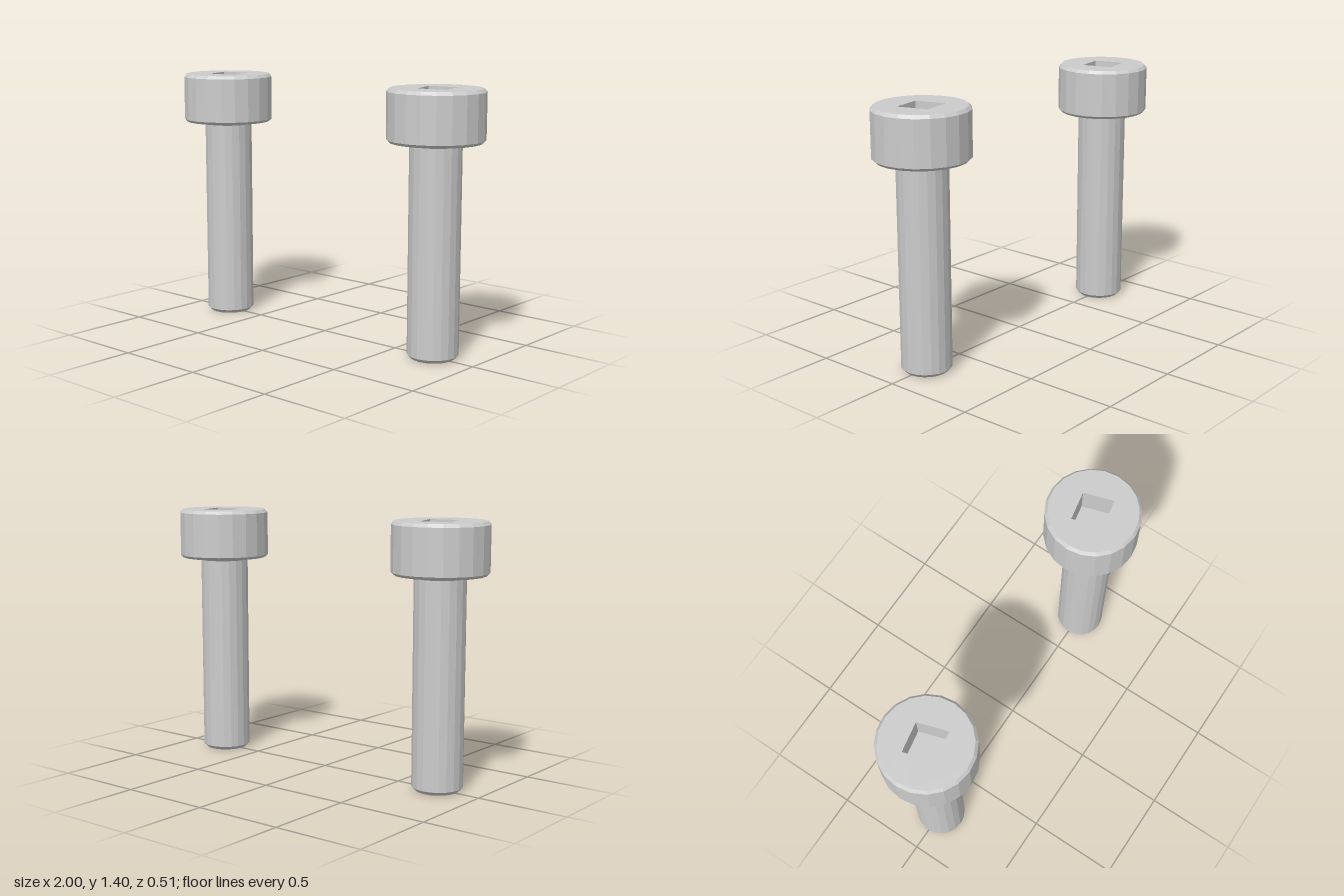
import * as THREE from 'three';

const SIDES = 20;
const TOP = 1.4, TOP_RADIUS = 0.238, SOCKET_DEPTH = 0.15;
// slightly skewed square socket, as (x, z) corners
const SOCKET = [[-0.103, -0.07], [0.057, -0.1], [0.107, 0.06], [-0.053, 0.09]];

const material = new THREE.MeshStandardMaterial({ color: 0xcccccc, flatShading: true });

function addMesh(parent, geometry, name) {
  const mesh = new THREE.Mesh(geometry, material);
  mesh.name = name;
  parent.add(mesh);
  return mesh;
}

function lathe(profile, sides) {
  return new THREE.LatheGeometry(profile.map(([r, y]) => new THREE.Vector2(r, y)), sides);
}

// flat horizontal face, facing up, from (x, z) corners
function flatFace(corners, y, hole) {
  const toVectors = (list) => list.map(([x, z]) => new THREE.Vector2(x, -z));
  const shape = new THREE.Shape(toVectors(corners));
  if (hole) shape.holes.push(new THREE.Path(toVectors(hole)));
  return new THREE.ShapeGeometry(shape).rotateX(-Math.PI / 2).translate(0, y, 0);
}

// inward-facing walls of the socket
function socketWalls() {
  const positions = [];
  const low = TOP - SOCKET_DEPTH;
  SOCKET.forEach(([ax, az], i) => {
    const [bx, bz] = SOCKET[(i + 1) % SOCKET.length];
    positions.push(ax, low, az, bx, low, bz, bx, TOP, bz);
    positions.push(ax, low, az, bx, TOP, bz, ax, TOP, az);
  });
  const geometry = new THREE.BufferGeometry();
  geometry.setAttribute('position', new THREE.Float32BufferAttribute(positions, 3));
  geometry.computeVertexNormals();
  return geometry;
}

function createBolt(name) {
  const bolt = new THREE.Group();
  bolt.name = name;

  // shank with chamfered tip and a small flare under the head
  addMesh(bolt, lathe([[0, 0], [0.115, 0], [0.135, 0.02], [0.135, 1.11], [0.148, 1.126]], SIDES), 'shank');

  // cylindrical head, chamfered above and below
  addMesh(bolt, lathe([
    [0.13, 1.125], [0.237, 1.125], [0.253, 1.14], [0.253, 1.383], [TOP_RADIUS, TOP],
  ], SIDES), 'head');

  // top face with the socket opening
  const rim = Array.from({ length: SIDES }, (_, i) => {
    const a = (i / SIDES) * Math.PI * 2;
    return [TOP_RADIUS * Math.sin(a), TOP_RADIUS * Math.cos(a)];
  });
  addMesh(bolt, flatFace(rim, TOP, SOCKET), 'headTop');
  addMesh(bolt, socketWalls(), 'socketWalls');
  addMesh(bolt, flatFace(SOCKET, TOP - SOCKET_DEPTH), 'socketFloor');
  return bolt;
}

export function createModel() {
  const model = new THREE.Group();
  model.name = 'boltPair';
  for (const [name, side] of [['leftBolt', 1], ['rightBolt', -1]]) {
    const bolt = createBolt(name);
    bolt.position.x = side * 0.747;
    model.add(bolt);
  }
  return model;
}
